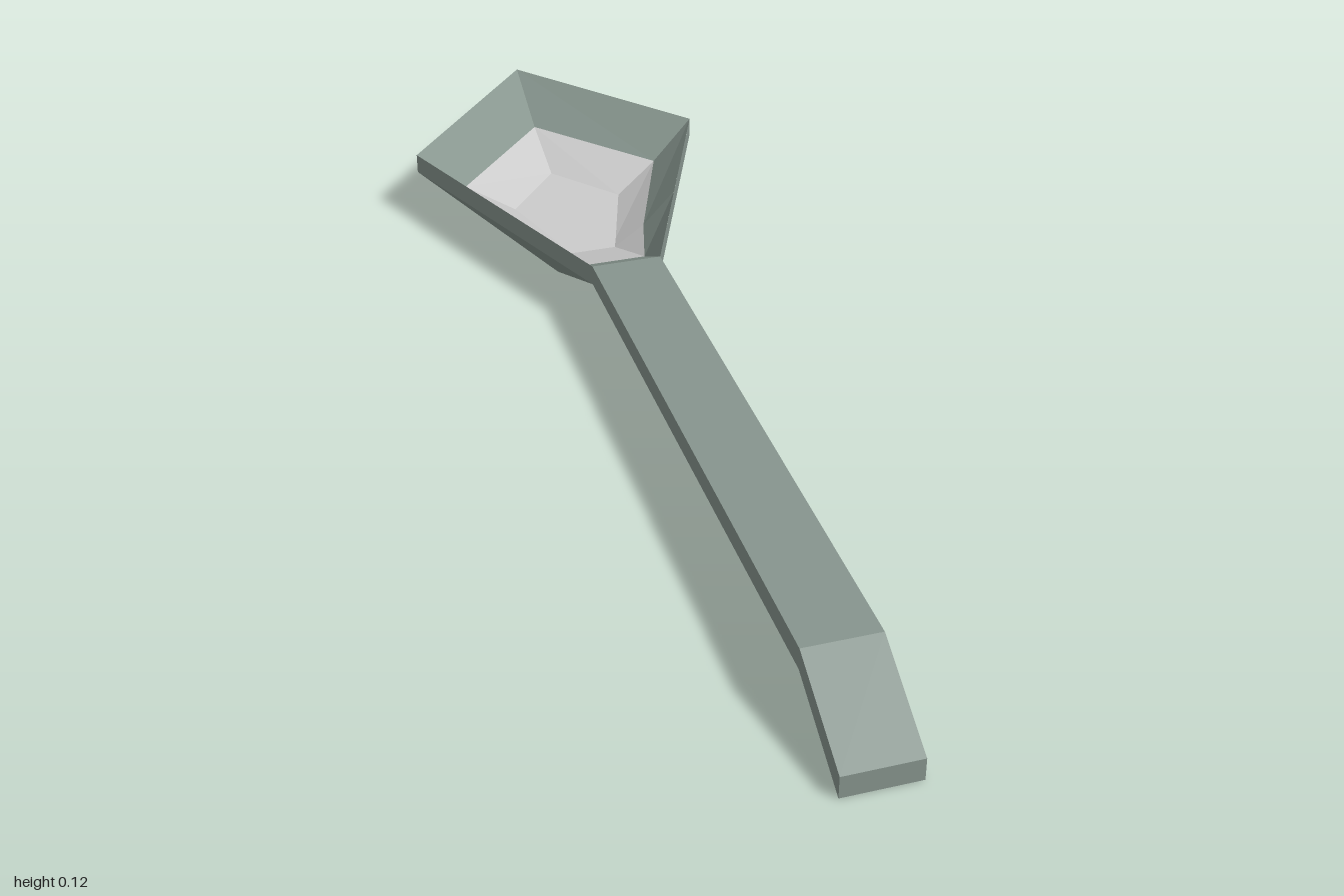
import * as THREE from 'three';

// Mirrored ring at height y: half = [x, z] points from the far tip (x = 0) round the left side.
function ring(half, y) {
  const left = half.map(([x, z]) => [x, y, z]);
  const right = half.slice(1).reverse().map(([x, z]) => [-x, y, z]);
  return [...left, ...right];
}

// Wall between two rings with the same number of points.
function wall(out, a, b) {
  a.forEach((p, i) => {
    const j = (i + 1) % a.length;
    out.push(...p, ...a[j], ...b[i], ...a[j], ...b[j], ...b[i]);
  });
}

// Flat cap over a ring.
function cap(out, r, up) {
  for (let i = 1; i < r.length - 1; i++) {
    out.push(...r[0], ...(up ? r[i + 1] : r[i]), ...(up ? r[i] : r[i + 1]));
  }
}

function mesh(name, positions, material) {
  const g = new THREE.BufferGeometry();
  g.setAttribute('position', new THREE.Float32BufferAttribute(positions, 3));
  g.computeVertexNormals();
  const m = new THREE.Mesh(g, material);
  m.name = name;
  return m;
}

export function createModel() {
  const model = new THREE.Group();
  model.name = 'spoon';
  const green = new THREE.MeshStandardMaterial({ color: 0x87958e, flatShading: true });
  const pale = new THREE.MeshStandardMaterial({ color: 0xc2c0be, flatShading: true });

  // Handle: side profile with a bent-down end, extruded across the width
  const profile = new THREE.Shape([
    [-0.2, 0.085], [0.84, 0.085], [1, 0], [1, 0.037], [0.84, 0.12], [-0.2, 0.12],
  ].map(([z, y]) => new THREE.Vector2(z, y)));
  const handleGeo = new THREE.ExtrudeGeometry(profile, { depth: 0.12, bevelEnabled: false });
  handleGeo.rotateY(-Math.PI / 2).translate(0.06, 0, 0);
  const handle = new THREE.Mesh(handleGeo, green);
  handle.name = 'handle';
  model.add(handle);

  // Bowl: kite-shaped rim band, tapered underside and flat base
  const rim = [[0, -1], [0.265, -0.69], [0.06, -0.2]];
  const base = ring([[0, -0.75], [0.117, -0.61], [0.072, -0.4]], 0);
  const bowl = [];
  wall(bowl, ring(rim, 0.12), ring(rim, 0.085));
  wall(bowl, ring(rim, 0.085), base);
  cap(bowl, base, false);

  // Sloping inside of the bowl down to the lining
  const rimInside = [[0, -1], [0.265, -0.69], [0.152, -0.42], [0.06, -0.2]];
  const lip = ring([[0, -0.86], [0.183, -0.655], [0.094, -0.42], [0.064, -0.31]], 0.059);
  wall(bowl, lip, ring(rimInside, 0.12));
  model.add(mesh('bowl', bowl, green));

  // Lining: faceted shallow dish with its own underside
  const floor = ring([[0, -0.73], [0.1, -0.61], [0.05, -0.45], [0.04, -0.42]], 0.022);
  const under = ring([[0, -0.73], [0.105, -0.6], [0.09, -0.45], [0.06, -0.41]], 0.014);
  const edge = ring([[0, -0.86], [0.183, -0.655], [0.105, -0.42], [0.064, -0.31]], 0.057);
  const lining = [];
  wall(lining, floor, lip);
  cap(lining, floor, true);
  wall(lining, edge, under);
  cap(lining, under, false);
  model.add(mesh('lining', lining, pale));

  return model;
}
